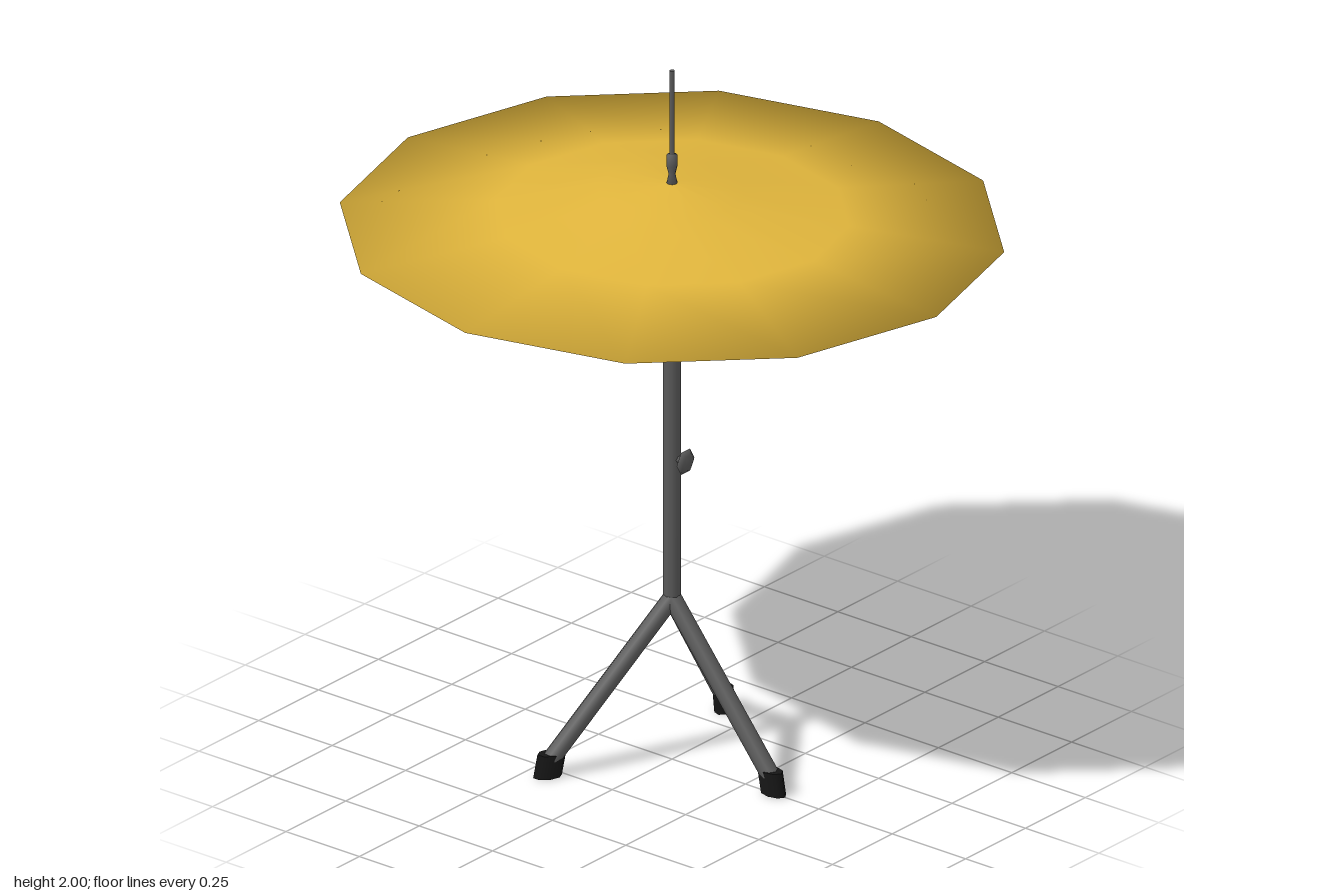
import * as THREE from 'three';

const metal = new THREE.MeshStandardMaterial({ color: 0x5a5a5a });
const rubber = new THREE.MeshStandardMaterial({ color: 0x161616 });
const brass = new THREE.MeshStandardMaterial({ color: 0xe0b53c, side: THREE.DoubleSide });

function lathe(points, sides) {
  return new THREE.LatheGeometry(points.map(([r, y]) => new THREE.Vector2(r, y)), sides);
}

function add(parent, name, geometry, material) {
  const mesh = new THREE.Mesh(geometry, material);
  mesh.name = name;
  parent.add(mesh);
  return mesh;
}

// Shallow twelve-sided dish: hollow underside, thin rim, domed top
function cymbalGeometry() {
  const rim = 0.9;
  const g = lathe([
    [0, 1.63], [0.2, 1.615], [0.46, 1.56], [0.75, 1.534],
    [rim, 1.545],
    [0.48, 1.587], [0.2, 1.655], [0, 1.676],
  ], 12);
  const pos = g.attributes.position, nor = g.attributes.normal;
  for (let i = 0; i < pos.count; i++) {
    const x = pos.getX(i), z = pos.getZ(i), r = Math.hypot(x, z);
    // soft shading rolls over the rim
    if (r > rim - 0.01) nor.setXYZ(i, x / r, 0, z / r);
    pos.setZ(i, z * 0.96);
  }
  return g;
}

// One leg leaning out along +x, with its sheared rubber foot
function makeLeg(name, angle) {
  const leg = new THREE.Group();
  leg.name = name;
  const top = new THREE.Vector3(0, 0.47, 0), end = new THREE.Vector3(0.335, 0.05, 0);
  const dir = end.clone().sub(top);
  const tube = add(leg, 'legTube', new THREE.CylinderGeometry(0.025, 0.025, dir.length(), 8), metal);
  tube.position.copy(top).add(end).multiplyScalar(0.5);
  tube.quaternion.setFromUnitVectors(new THREE.Vector3(0, -1, 0), dir.normalize());

  const foot = new THREE.CylinderGeometry(1, 1, 0.066, 8);
  foot.scale(0.04, 1, 0.025);
  const p = foot.attributes.position;
  for (let i = 0; i < p.count; i++) p.setX(i, p.getX(i) - p.getY(i) * 0.18);
  foot.translate(0.34, 0.033, 0);
  add(leg, 'foot', foot, rubber);
  leg.rotation.y = angle;
  return leg;
}

export function createModel() {
  const model = new THREE.Group();
  model.name = 'cymbalStand';

  add(model, 'cymbal', cymbalGeometry(), brass);

  // Main tube, tapering where it enters the dish
  add(model, 'pole', lathe([
    [0, 0.455], [0.016, 0.46], [0.025, 0.485], [0.025, 1.55], [0.018, 1.61], [0.014, 1.66], [0, 1.66],
  ], 10), metal);

  // Thin rod and the nut holding the dish
  const rod = add(model, 'topRod', new THREE.CylinderGeometry(0.007, 0.007, 0.36, 8), metal);
  rod.position.y = 1.82;
  add(model, 'nut', lathe([
    [0, 1.665], [0.015, 1.672], [0.009, 1.7], [0.015, 1.725], [0.015, 1.755], [0, 1.76],
  ], 8), metal);

  // Height clamp knob on the left side
  const knob = add(model, 'clampKnob', lathe([
    [0, 0.015], [0.01, 0.018], [0.012, 0.032], [0.037, 0.046], [0.022, 0.056], [0, 0.058],
  ], 6), metal);
  knob.rotation.z = -Math.PI / 2;
  knob.position.y = 0.877;

  // Three legs, unevenly turned around the pole
  [['leftLeg', 0], ['backLeg', 1.84], ['frontLeg', -2.14]].forEach(([name, angle]) => {
    model.add(makeLeg(name, angle));
  });

  return model;
}
